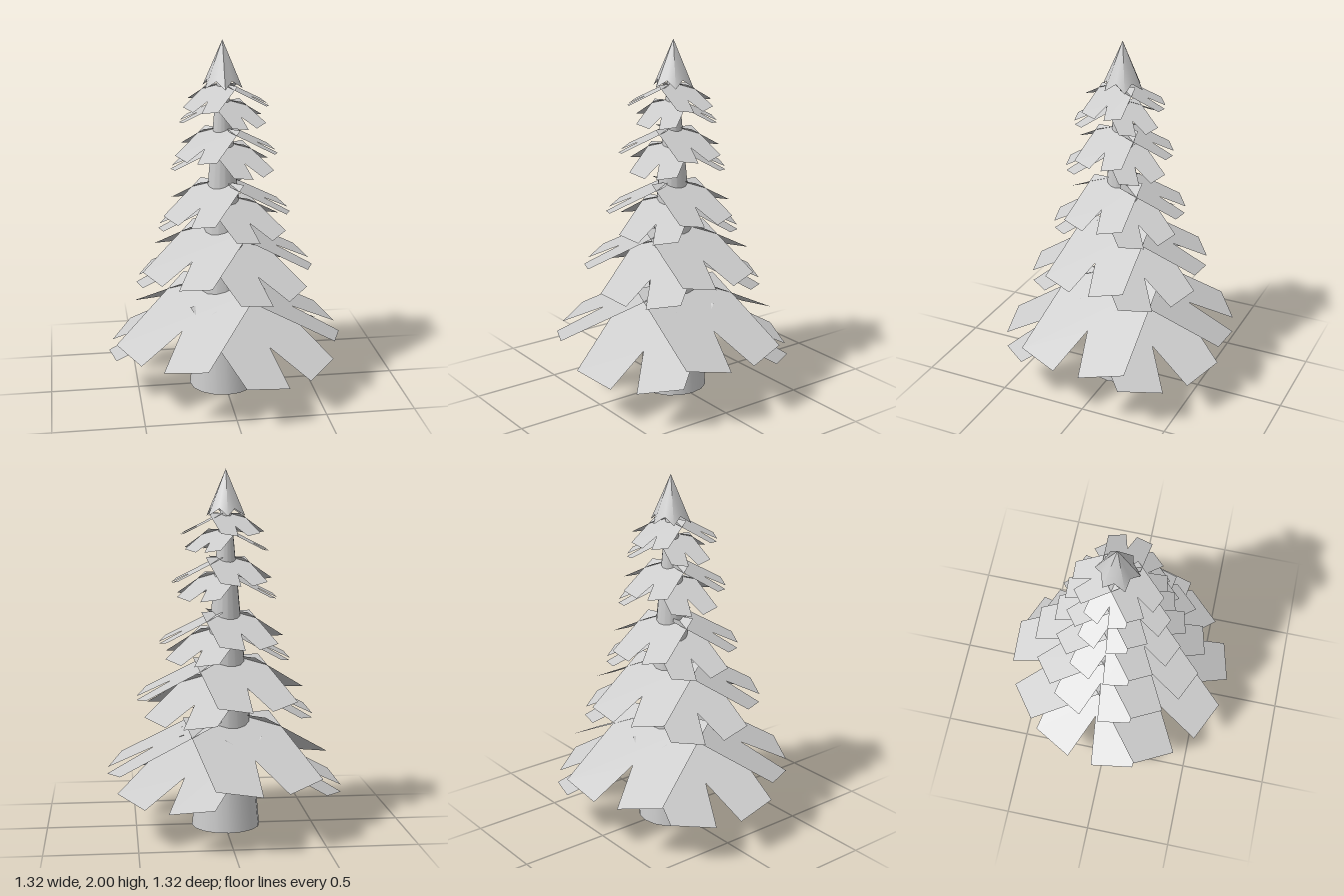
import * as THREE from 'three';

const grey = new THREE.MeshStandardMaterial({ color: 0xcccccc, side: THREE.DoubleSide });

// One flat bough: a wide card with a V notch in its outer edge, sloping down along +x
function boughGeometry() {
  const slope = 0.508, inner = 0.03;
  const outline = [
    [-0.265, inner], [0.265, inner], [0.314, 0.584],
    [0.076, 0.659], [0, 0.4], [-0.076, 0.659], [-0.314, 0.584],
  ].map(([w, u]) => new THREE.Vector2(w, u));
  const geometry = new THREE.ShapeGeometry(new THREE.Shape(outline));
  const p = geometry.attributes.position;
  for (let i = 0; i < p.count; i++) {
    const w = p.getX(i), u = p.getY(i);
    p.setXYZ(i, u, -slope * (u - inner), w);
  }
  geometry.computeVertexNormals();
  return geometry;
}

// Cone whose rim alternates between six points and six raised valleys
function tipGeometry() {
  const height = 0.255;
  const geometry = new THREE.ConeGeometry(0.117, height, 12, 1, true);
  const p = geometry.attributes.position;
  for (let i = 0; i < p.count; i++) {
    if (p.getY(i) > 0) continue;
    const angle = Math.atan2(p.getZ(i), p.getX(i));
    const step = Math.round(angle / (Math.PI / 6));
    const valley = step % 2 === 0;
    if (valley) p.setXYZ(i, p.getX(i) * 0.72, -height / 2 + 0.04, p.getZ(i) * 0.72);
  }
  geometry.computeVertexNormals();
  return geometry;
}

export function createModel() {
  const tree = new THREE.Group();
  tree.name = 'tree';

  // Tapered open trunk
  const trunk = new THREE.Mesh(new THREE.CylinderGeometry(0.03, 0.192, 1.78, 16, 1, true), grey);
  trunk.name = 'trunk';
  trunk.position.set(-0.007, 0.89, -0.01);
  tree.add(trunk);

  // Five tiers, each with an upper and a lower ring of three boughs
  const bough = boughGeometry();
  const tiers = [
    { top: 0.64, size: 1, gap: 0.1 },
    { top: 0.97, size: 0.75, gap: 0.095 },
    { top: 1.22, size: 0.555, gap: 0.09 },
    { top: 1.52, size: 0.445, gap: 0.085 },
    { top: 1.76, size: 0.37, gap: 0.088 },
  ];
  const rings = [[108.9, -1.5, -133.4], [52.1, -59.3, 169.3]];
  tiers.forEach(({ top, size, gap }, t) => {
    const tier = new THREE.Group();
    tier.name = `tier${t + 1}`;
    rings.forEach((angles, r) => angles.forEach((angle) => {
      const mesh = new THREE.Mesh(bough, grey);
      mesh.name = r === 0 ? 'upperBough' : 'lowerBough';
      mesh.position.y = top - r * gap;
      mesh.rotation.y = THREE.MathUtils.degToRad(angle);
      mesh.scale.setScalar(size);
      tier.add(mesh);
    }));
    tree.add(tier);
  });

  // Pointed treetop
  const tip = new THREE.Mesh(tipGeometry(), grey);
  tip.name = 'treetop';
  tip.position.set(-0.007, 2 - 0.1275, -0.014);
  tree.add(tip);

  return tree;
}
